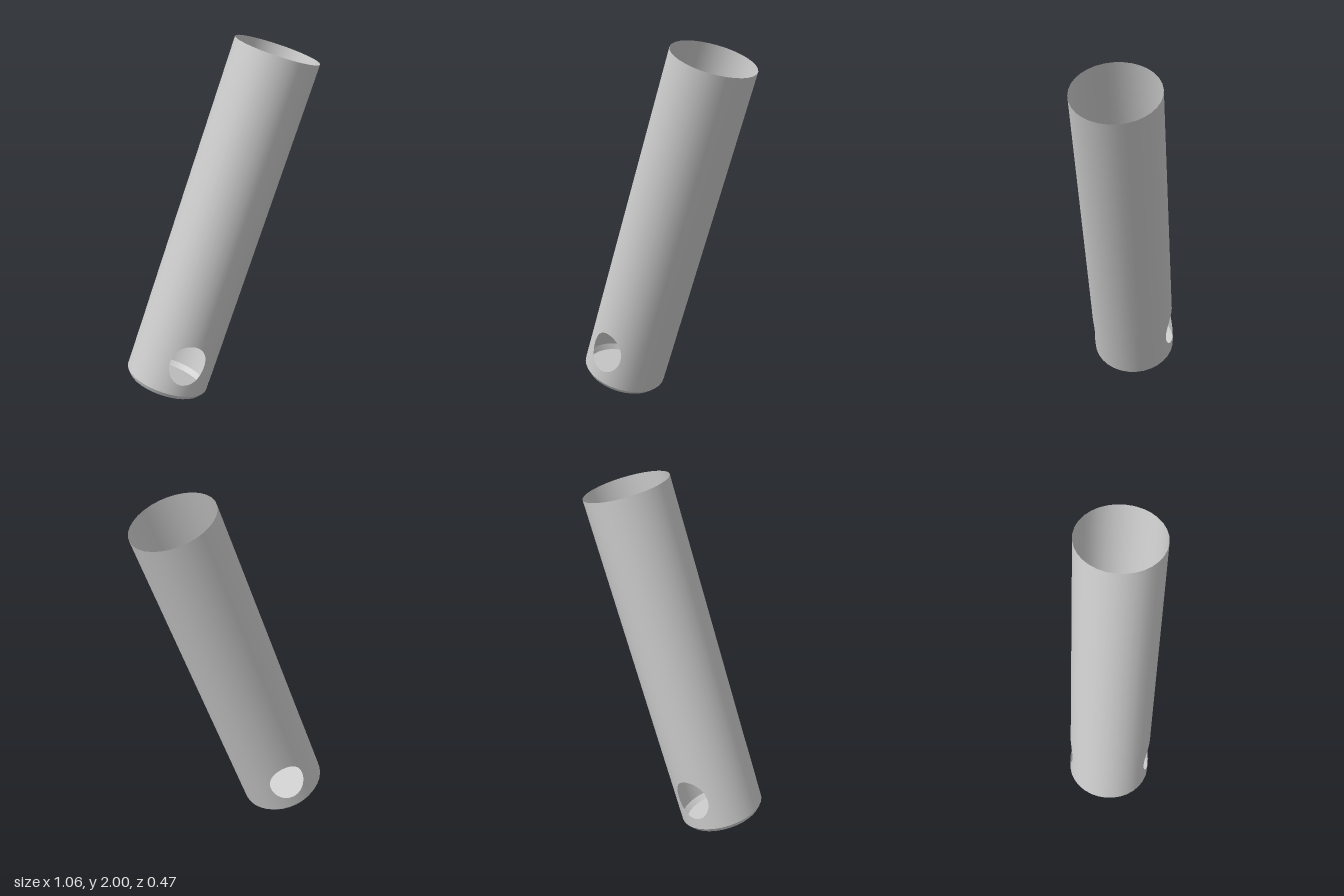
import * as THREE from 'three';

const R = 0.233, SIDES = 32;
const BASE = -0.037, WALL_BOTTOM = -0.01, BAND_TOP = 0.36, TOP = 1.925;
const HOLE = { v: 0.175, angle: 0.444, height: 0.119 };

const material = new THREE.MeshStandardMaterial({ color: 0xcccccc, side: THREE.DoubleSide });

function addMesh(parent, name, geometry) {
  const mesh = new THREE.Mesh(geometry, material);
  mesh.name = name;
  parent.add(mesh);
  return mesh;
}

function lathe(...profile) {
  return new THREE.LatheGeometry(profile.map(([r, y]) => new THREE.Vector2(r, y)), SIDES);
}

// Half of the lower wall: rings running from the oval hole out to the edge of the half shell
function piercedHalf() {
  const edge = [], half = SIDES / 2, upright = 8, rings = 8;
  const a = Math.PI / 2, low = WALL_BOTTOM - HOLE.v, high = BAND_TOP - HOLE.v;
  const lerp = THREE.MathUtils.lerp;
  for (let i = 0; i < half; i++) edge.push([lerp(-a, a, i / half), low]);
  for (let i = 0; i < upright; i++) edge.push([a, lerp(low, high, i / upright)]);
  for (let i = 0; i < half; i++) edge.push([lerp(a, -a, i / half), high]);
  for (let i = 0; i < upright; i++) edge.push([-a, lerp(high, low, i / upright)]);

  const n = edge.length, position = [], normal = [], index = [];
  for (let k = 0; k <= rings; k++) {
    for (const [ex, ey] of edge) {
      const d = Math.hypot(ex / HOLE.angle, ey / HOLE.height);
      const t = lerp(1 / d, 1, k / rings);
      const s = Math.sin(ex * t), c = Math.cos(ex * t);
      position.push(R * s, HOLE.v + ey * t, R * c);
      normal.push(s, 0, c);
    }
  }
  for (let k = 0; k < rings; k++) {
    for (let j = 0; j < n; j++) {
      const p = k * n + j, q = k * n + (j + 1) % n;
      index.push(p, p + n, q + n, p, q + n, q);
    }
  }
  const geometry = new THREE.BufferGeometry();
  geometry.setAttribute('position', new THREE.Float32BufferAttribute(position, 3));
  geometry.setAttribute('normal', new THREE.Float32BufferAttribute(normal, 3));
  geometry.setIndex(index);
  return geometry;
}

export function createModel() {
  const model = new THREE.Group();
  model.name = 'leaningTube';

  const tube = new THREE.Group();
  tube.name = 'tube';
  model.add(tube);

  // Open-topped wall, with a hole through front and back near the foot
  addMesh(tube, 'upperWall', lathe([R, BAND_TOP], [R, TOP]));
  const half = piercedHalf();
  addMesh(tube, 'frontLowerWall', half);
  addMesh(tube, 'backLowerWall', half).rotation.y = Math.PI;

  // Bevelled, closed foot
  addMesh(tube, 'bevel', lathe([0.212, BASE], [R, WALL_BOTTOM]));
  addMesh(tube, 'floor', lathe([0, BASE], [0.212, BASE]));

  // Lean toward +x
  tube.rotation.z = -THREE.MathUtils.degToRad(18.8);
  tube.position.set(-0.309, 0.104, 0);
  return model;
}
